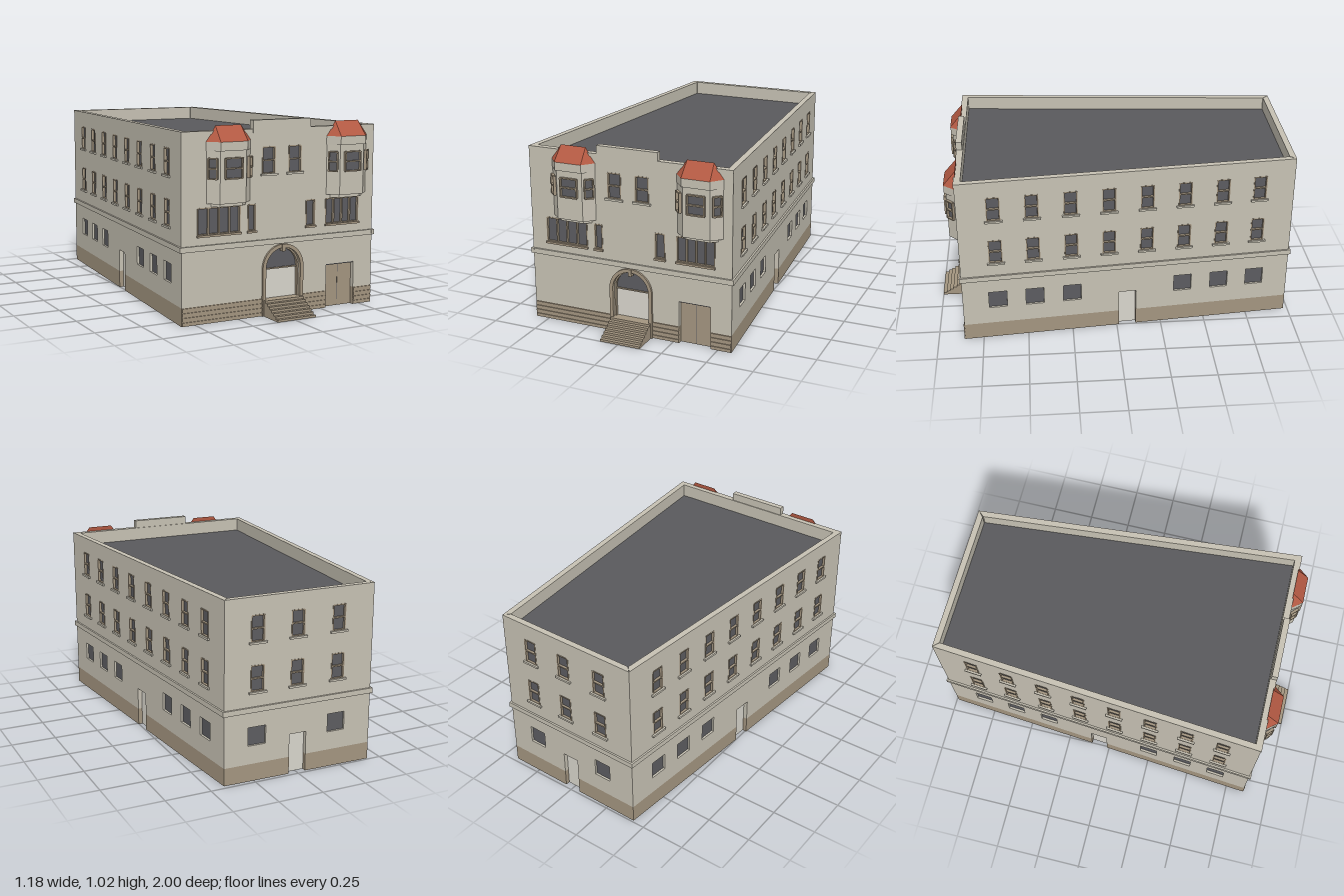
import * as THREE from 'three';
import { ConvexGeometry } from 'three/addons/geometries/ConvexGeometry.js';

const mat = (name, color) => Object.assign(new THREE.MeshStandardMaterial({ color }), { name });
const stone = mat('cream stone', 0xc6c1b3);
const tan = mat('tan trim', 0xa39580);
const glass = mat('dark glass', 0x5c5c60);
const roofing = mat('grey roofing', 0x59595c);
const tile = mat('red tile', 0xb45a43);
const paint = mat('pale door paint', 0xd8d5cc);

const T = 0.033, TOP = 0.975, BASE = 0.095;

function add(parent, name, geo, material, x = 0, y = 0, z = 0) {
  const m = new THREE.Mesh(geo, material);
  m.name = name;
  m.position.set(x, y, z);
  parent.add(m);
  return m;
}

// box given by its x, y and z ranges
function box(parent, name, material, x0, x1, y0, y1, z0, z1) {
  return add(parent, name, new THREE.BoxGeometry(x1 - x0, y1 - y0, z1 - z0), material,
    (x0 + x1) / 2, (y0 + y1) / 2, (z0 + z1) / 2);
}

const extrude = (shape, depth) =>
  new THREE.ExtrudeGeometry(shape, { depth, bevelEnabled: false, curveSegments: 24 });

// horizontal slab from [x, z] outline points
function slab(parent, name, material, pts, y0, y1) {
  const geo = extrude(new THREE.Shape(pts.map(([x, z]) => new THREE.Vector2(x, -z))), y1 - y0);
  geo.rotateX(-Math.PI / 2);
  return add(parent, name, geo, material, 0, y0, 0);
}

// wall panel with its inner ends mitred at the building corners
function wallPanel(parent, name, material, shape, L) {
  const geo = extrude(shape, T).translate(0, 0, -T), p = geo.attributes.position;
  for (let i = 0; i < p.count; i++) {
    if (p.getZ(i) > -T / 2) continue;
    if (p.getX(i) < 1e-4) p.setX(i, T);
    else if (p.getX(i) > L - 1e-4) p.setX(i, L - T);
  }
  geo.computeVertexNormals();
  add(parent, name, geo, material);
}

const rect = (Type, a, b, y0, y1) =>
  new Type([[a, y0], [b, y0], [b, y1], [a, y1]].map(q => new THREE.Vector2(...q)));

// glazing with a border frame, vertical bars and horizontal rails
function windowUnit(parent, { x, y, w, h, cols = 1, rows = 2, frame = true, sill = null, zg = -0.012, sillW = 0.014 }) {
  const a = x - w / 2, b = x + w / 2, f = 0.0035;
  box(parent, 'windowGlass', glass, a, b, y, y + h, zg - 0.004, zg);
  if (frame) {
    for (let i = 0; i <= cols; i++) {
      const c = a + (w * i) / cols;
      box(parent, 'windowUpright', tan, c - f, c + f, y, y + h, zg, zg + 0.014);
    }
    for (let i = 0; i <= rows; i++) {
      const c = y + (h * i) / rows;
      box(parent, 'windowRail', tan, a, b, c - f, c + f, zg, zg + 0.0135);
    }
  }
  if (sill) box(parent, 'windowSill', sill, a - sillW, b + sillW, y - 0.011, y, -0.01, 0.012);
}

// one outer wall: local x runs along it, local +z points outward
function buildWall(parent, name, p0, p1, windows, doors) {
  const g = new THREE.Group();
  g.name = name;
  const dx = p1[0] - p0[0], dz = p1[1] - p0[1], L = Math.hypot(dx, dz);
  g.position.set(p0[0], 0, p0[1]);
  g.rotation.y = Math.atan2(-dz, dx);
  parent.add(g);
  doors.sort((a, b) => a.x - b.x);

  const s = new THREE.Shape();
  s.moveTo(0, BASE);
  for (const d of doors) {
    const a = d.x - d.w / 2, b = d.x + d.w / 2;
    s.lineTo(a, BASE);
    s.lineTo(a, d.h);
    if (d.arch) s.absarc(d.x, d.h, d.w / 2, Math.PI, 0, true);
    else s.lineTo(b, d.h);
    s.lineTo(b, BASE);
  }
  s.lineTo(L, BASE);
  s.lineTo(L, TOP);
  s.lineTo(0, TOP);
  for (const w of windows) s.holes.push(rect(THREE.Path, w.x - w.w / 2, w.x + w.w / 2, w.y, w.y + w.h));
  wallPanel(g, 'wall', stone, s, L);

  // base course between the doors
  const edges = [0, ...doors.flatMap(d => [d.x - d.w / 2, d.x + d.w / 2]), L];
  const spans = [];
  for (let i = 0; i < edges.length; i += 2) {
    spans.push([edges[i], edges[i + 1]]);
    wallPanel(g, 'baseCourse', tan, rect(THREE.Shape, edges[i], edges[i + 1], 0, BASE), L);
  }
  windows.forEach(w => windowUnit(g, w));
  for (const d of doors) if (d.panel)
    box(g, 'door', d.panel, d.x - d.w / 2, d.x + d.w / 2, 0, d.h, -T + 0.001, -T + 0.009);
  box(g, 'beltCourse', stone, -0.01, L + 0.01, 0.376, 0.404, -0.01, 0.01);
  return { g, L, spans };
}

// three-sided bay with cornice, hipped tile roof and windows
function buildBay(parent, cx, z) {
  const g = new THREE.Group();
  g.name = 'bayWindow';
  g.position.set(cx, 0, z);
  parent.add(g);
  const plan = (o, f, d) => [[-o, -0.01], [-o, 0], [-f, d], [f, d], [o, 0], [o, -0.01]];
  slab(g, 'bayFoot', stone, plan(0.1, 0.065, 0.03), 0.595, 0.612);
  slab(g, 'bayBody', stone, plan(0.125, 0.074, 0.05), 0.612, 0.88);
  slab(g, 'bayCornice', stone, plan(0.127, 0.077, 0.06), 0.877, 0.922);
  const pts = [[-0.127, 0.922, 0], [0.127, 0.922, 0], [-0.077, 0.922, 0.062], [0.077, 0.922, 0.062],
    [-0.072, 1, -0.005], [0.072, 1, -0.005]];
  add(g, 'bayRoof', new ConvexGeometry(pts.map(p => new THREE.Vector3(...p))), tile);
  const faces = [[0, 0.05, 0, 0.095], [-0.0995, 0.025, -0.775, 0.046], [0.0995, 0.025, 0.775, 0.046]];
  for (const [x, fz, turn, w] of faces) {
    const face = new THREE.Group();
    face.name = 'bayFace';
    face.position.set(x, 0, fz);
    face.rotation.y = turn;
    g.add(face);
    windowUnit(face, { x: 0, y: 0.738, w, h: 0.102, zg: 0.002 });
  }
}

export function createModel() {
  const model = new THREE.Group();
  model.name = 'building';
  const FL = [-0.577, 0.853], FR = [0.577, 0.853], BR = [0.418, -0.977], BL = [-0.428, -0.99];

  // front wall
  const fx = x => x - FL[0], ex = fx(0.01);
  const frontWins = [
    ...[-0.077, 0.08].map(x => ({ x: fx(x), y: 0.745, w: 0.072, h: 0.135, sill: stone })),
    ...[[-0.365, 0.24, 4], [-0.176, 0.042, 1], [0.179, 0.052, 1], [0.378, 0.206, 4]].map(([x, w, cols]) =>
      ({ x: fx(x), y: 0.456, w, h: 0.134, cols, rows: 1, sill: tan, sillW: 0.006 })),
  ];
  const front = buildWall(model, 'frontWall', FL, FR, frontWins, [
    { x: ex, w: 0.21, h: 0.25, arch: true },
    { x: fx(0.372), w: 0.176, h: 0.237, panel: tan },
  ]);
  const f = front.g;
  for (const [a, b] of front.spans)
    for (let i = 0; i < 4; i++)
      box(f, 'baseBlockCourse', tan, a + 0.002, b - 0.002, 0.003 + i * 0.024, 0.02 + i * 0.024, -0.002, 0.005);
  box(f, 'garageSeam', glass, fx(0.371), fx(0.373), 0, 0.235, -T + 0.009, -T + 0.01);
  box(f, 'garageLintel', glass, fx(0.286), fx(0.458), 0.231, 0.237, -T, -0.004);
  box(f, 'coping', stone, 0, front.L, 0.957, TOP, -0.01, 0.003);
  box(f, 'raisedParapet', stone, fx(-0.173), fx(0.172), 0.955, 1.02, -0.028, 0.005);

  // arched entrance
  const archRing = (r, ri) => {
    const s = new THREE.Shape();
    s.moveTo(-r, 0);
    s.lineTo(-r, 0.25);
    s.absarc(0, 0.25, r, Math.PI, 0, true);
    s.lineTo(r, 0);
    s.lineTo(ri, 0);
    s.lineTo(ri, 0.25);
    s.absarc(0, 0.25, ri, 0, Math.PI, false);
    s.lineTo(-ri, 0);
    return s;
  };
  add(f, 'archSurround', extrude(archRing(0.123, 0.104), 0.015), tan, ex, 0, -0.003);
  add(f, 'archInnerFrame', extrude(archRing(0.106, 0.097), 0.02), tan, ex, 0, -0.03);
  box(f, 'keystone', tan, ex - 0.01, ex + 0.01, 0.335, 0.373, -0.01, 0.017);
  box(f, 'entranceDoor', paint, ex - 0.1, ex + 0.1, 0.085, 0.242, -0.033, -0.027);
  box(f, 'transomBar', tan, ex - 0.1, ex + 0.1, 0.239, 0.246, -0.033, -0.02);
  const fan = new THREE.Shape();
  fan.absarc(0, 0.25, 0.1, 0, Math.PI, false);
  fan.lineTo(-0.1, 0.243);
  fan.lineTo(0.1, 0.243);
  add(f, 'fanlight', extrude(fan, 0.006), glass, ex, 0, -0.033);

  // entrance steps
  const steps = 7, rise = 0.086 / steps;
  for (let i = 0; i < steps; i++)
    box(model, 'step', tan, -0.105, 0.125, i * rise, (i + 1) * rise, 0.825, 1 - i * 0.02);

  // long side walls
  const rows = [0.66, 0.457, 0.25, 0.043, -0.165, -0.372, -0.58, -0.785];
  for (const [name, a, b] of [['leftWall', FR, BR], ['rightWall', BL, FL]]) {
    const L = Math.hypot(b[0] - a[0], b[1] - a[1]);
    const at = z => ((z - a[1]) / (b[1] - a[1])) * L;
    const wins = rows.flatMap((z, i) => {
      const list = [0.745, 0.485].map(y => ({ x: at(z), y, w: 0.068, h: 0.135, sill: stone }));
      if (i < 3 || i > 4) list.push({ x: at(z), y: 0.195, w: 0.1, h: 0.1, frame: false });
      return list;
    });
    buildWall(model, name, a, b, wins, [{ x: at(-0.06), w: 0.096, h: 0.22, panel: paint }]);
  }

  // back wall
  const bx = x => BR[0] - x;
  const backWins = [0.235, 0.01, -0.225].flatMap((x, i) => {
    const list = [0.745, 0.485].map(y => ({ x: bx(x), y, w: 0.07, h: 0.135, sill: stone }));
    if (i !== 1) list.push({ x: bx(x), y: 0.195, w: 0.1, h: 0.1, frame: false });
    return list;
  });
  buildWall(model, 'backWall', BR, BL, backWins, [{ x: bx(0), w: 0.096, h: 0.22, panel: paint }]);

  // flat roof behind the parapet
  const inset = ([x, z]) => [x - Math.sign(x) * 0.03, z - Math.sign(z) * 0.03];
  slab(model, 'flatRoof', roofing, [FL, FR, BR, BL].map(inset), 0.88, 0.9);

  for (const cx of [-0.312, 0.402]) buildBay(model, cx, FL[1]);
  return model;
}
